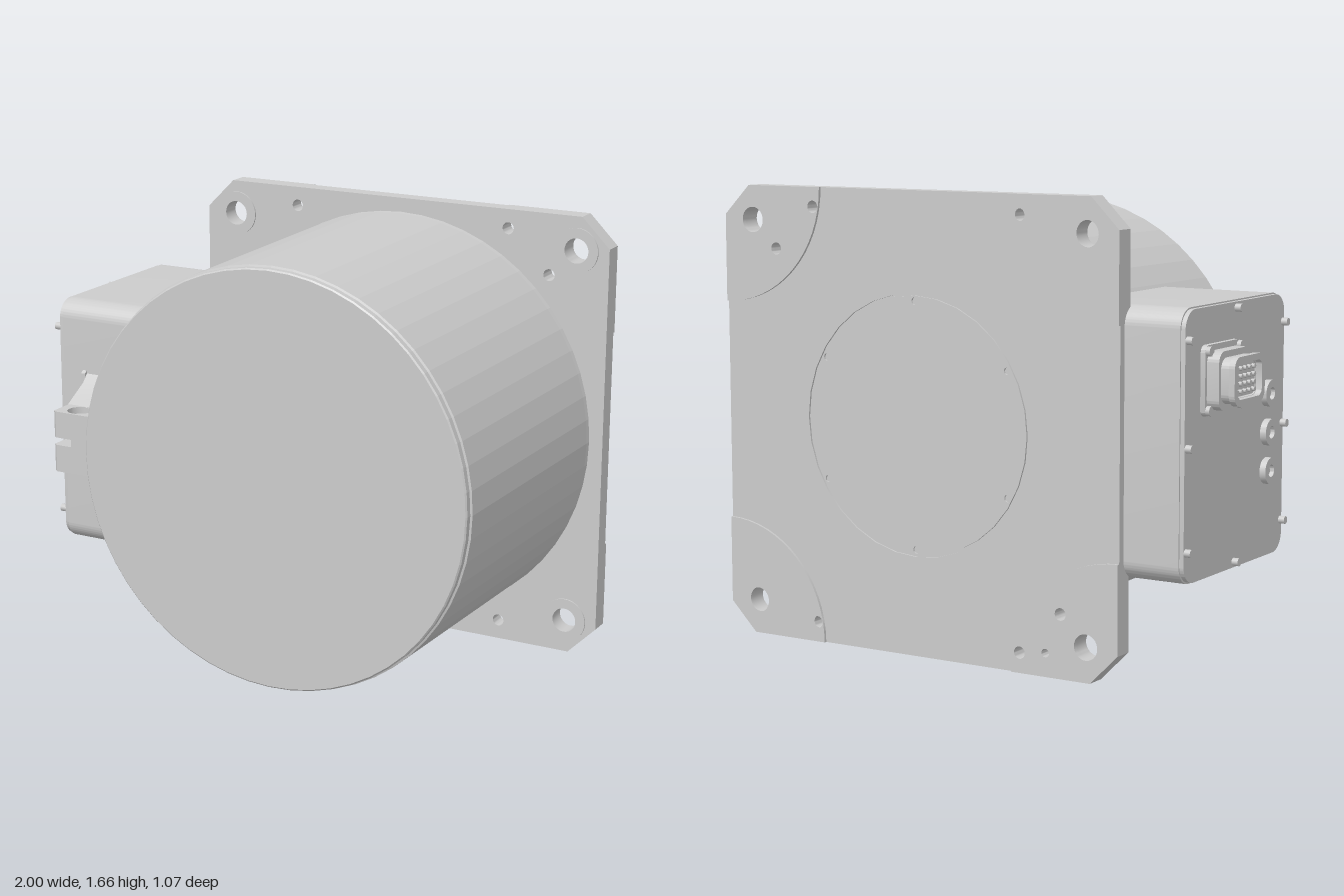
import * as THREE from 'three';
import { toCreasedNormals } from 'three/addons/utils/BufferGeometryUtils.js';

const CX = 0.172, CY = 0.828, HALF = 0.8275; // centre and half width of the square flange
const grey = new THREE.MeshStandardMaterial({ color: 0xcccccc });
const faceted = new THREE.MeshStandardMaterial({ color: 0xcccccc, flatShading: true });

function circle(x, y, r) {
  return new THREE.Path().absarc(x, y, r, 0, Math.PI * 2, true);
}

function polygon(points) {
  return new THREE.Shape(points.map(([x, y]) => new THREE.Vector2(x, y)));
}

function roundRect(cx, cy, hw, hh, r, Type = THREE.Shape) {
  const s = new Type();
  s.absarc(cx + hw - r, cy + hh - r, r, 0, Math.PI / 2);
  s.absarc(cx - hw + r, cy + hh - r, r, Math.PI / 2, Math.PI);
  s.absarc(cx - hw + r, cy - hh + r, r, Math.PI, Math.PI * 1.5);
  s.absarc(cx + hw - r, cy - hh + r, r, Math.PI * 1.5, Math.PI * 2);
  s.closePath();
  return s;
}

function extrude(shape, depth) {
  const g = new THREE.ExtrudeGeometry(shape, { depth, bevelEnabled: false, curveSegments: 16 });
  return toCreasedNormals(g, 0.6);
}

export function createModel() {
  const model = new THREE.Group();
  const add = (name, geometry, parent = model, material = grey) => {
    const mesh = new THREE.Mesh(geometry, material);
    mesh.name = name;
    parent.add(mesh);
    return mesh;
  };
  // Slab of an (x, y) outline between two z values
  const slabZ = (name, shape, z0, z1, parent) =>
    add(name, extrude(shape, z1 - z0).translate(0, 0, z0), parent);
  // Slab of a (z, y) outline between two x values
  const slabX = (name, shape, x0, x1, parent) =>
    add(name, extrude(shape, x1 - x0).rotateY(-Math.PI / 2).translate(x1, 0, 0), parent);
  // Round stud along x
  const stud = (name, r, x0, x1, y, z, parent, sides = 20) =>
    add(name, new THREE.CylinderGeometry(r, r, x1 - x0, sides).rotateZ(Math.PI / 2)
      .translate((x0 + x1) / 2, y, z), parent);

  // Mounting flange with chamfered corners and bolt holes
  const flange = new THREE.Group();
  flange.name = 'mountingFlange';
  model.add(flange);
  const c = 0.108, k = HALF - c;
  const bolts = [[-1, -1], [1, -1], [1, 1], [-1, 1]];
  const holes = bolts.map(([sx, sy]) => [CX + sx * 0.703, CY + sy * 0.703, 0.046]);
  holes.push([-0.265, 1.585, 0.022], [0.605, 1.585, 0.022], [0.77, 1.43, 0.022],
    [-0.43, 0.228, 0.022], [-0.37, 0.085, 0.015], [-0.265, 0.073, 0.022], [0.605, 0.073, 0.022]);
  const plate = () => {
    const s = polygon([[-k, -HALF], [k, -HALF], [HALF, -k], [HALF, k], [k, HALF], [-k, HALF],
      [-HALF, k], [-HALF, -k]].map(([x, y]) => [CX + x, CY + y]));
    s.holes.push(...holes.map(h => circle(...h)));
    return s;
  };
  slabZ('flangePlate', plate(), -0.518, -0.46, flange);
  const back = plate();
  back.holes.push(circle(CX, CY, 0.468));
  slabZ('flangeBackLayer', back, -0.525, -0.518, flange);

  // Round rear cover set inside a narrow groove
  const cover = new THREE.Shape().absarc(CX, CY, 0.461, 0, Math.PI * 2);
  for (let i = 0; i < 6; i++) {
    const a = Math.PI / 2 + i * Math.PI / 3;
    cover.holes.push(circle(CX + 0.442 * Math.cos(a), CY + 0.442 * Math.sin(a), 0.013));
  }
  slabZ('rearCover', cover, -0.525, -0.518, flange);

  // Raised quarter-round pads on the back and spot faces on the front, one per corner
  bolts.forEach(([sx, sy], i) => {
    const R = 0.425, px = CX + sx * HALF, py = CY + sy * HALF;
    const outline = [[0, c], [c, 0]];
    for (let j = 0; j <= 16; j++) {
      const a = j / 16 * Math.PI / 2;
      outline.push([R * Math.cos(a), R * Math.sin(a)]);
    }
    const pad = polygon(outline.map(([u, v]) => [px - sx * u, py - sy * v]));
    pad.holes.push(...holes.filter(h => Math.hypot(h[0] - px, h[1] - py) < R)
      .map(h => circle(...h)));
    slabZ('cornerPad', pad, -0.535, -0.525, flange);
    const spot = new THREE.Shape().absarc(holes[i][0], holes[i][1], 0.083, 0, Math.PI * 2);
    spot.holes.push(circle(...holes[i]));
    slabZ('spotFace', spot, -0.46, -0.454, flange);
  });

  // Slightly tapered drum housing with a stepped front lid
  const profile = [[0, -0.47], [0.776, -0.47], [0.774, -0.44], [0.762, 0.505], [0.755, 0.508],
    [0.755, 0.53], [0.75, 0.535], [0, 0.535]].map(([r, y]) => new THREE.Vector2(r, y));
  add('drumHousing', new THREE.LatheGeometry(profile, 56).rotateX(Math.PI / 2)
    .translate(CX, CY, 0), model, faceted);

  // Connection box on the side, with its end cover and screws
  const box = new THREE.Group();
  box.name = 'connectionBox';
  model.add(box);
  slabX('boxBody', roundRect(-0.126, 0.83, 0.371, 0.465, 0.07), -0.866, -0.35, box);
  slabX('endCover', roundRect(-0.126, 0.83, 0.366, 0.46, 0.068), -0.882, -0.866, box);
  const screws = [[-0.13, 1.27], [-0.13, 0.39]];
  for (const z of [-0.478, 0.228]) for (const y of [1.19, 0.83, 0.48]) screws.push([z, y]);
  for (const [z, y] of screws) stud('coverScrew', 0.014, -0.905, -0.88, y, z, box, 12);

  // Round plugs with hex sockets
  for (const y of [0.675, 0.812, 0.95]) {
    const plug = new THREE.Shape().absarc(0.108, y, 0.047, 0, Math.PI * 2);
    plug.holes.push(circle(0.108, y, 0.022));
    slabX('plug', plug, -0.905, -0.88, box);
    stud('plugSocket', 0.014, -0.894, -0.88, y, 0.108, box, 6);
  }

  // Electrical connector: flange, corner screws, hollow shell and pins
  const plugGroup = new THREE.Group();
  plugGroup.name = 'connector';
  model.add(plugGroup);
  const PZ = -0.255, PY = 1.045;
  slabX('connectorFlange', roundRect(PZ, PY, 0.13, 0.12, 0.025), -0.9, -0.88, plugGroup);
  for (const sz of [-1, 1]) for (const sy of [-1, 1])
    stud('connectorScrew', 0.017, -0.915, -0.9, PY + sy * 0.1, PZ + sz * 0.112, plugGroup, 12);
  const shell = (name, hz, hy, wall, x0, x1) => {
    const s = roundRect(PZ, PY, hz, hy, 0.04);
    s.holes.push(roundRect(PZ, PY, hz - wall, hy - wall, 0.025, THREE.Path));
    slabX(name, s, x0, x1, plugGroup);
  };
  shell('shellBase', 0.118, 0.1, 0.035, -0.945, -0.9);
  shell('shellNeck', 0.104, 0.078, 0.018, -0.978, -0.945);
  shell('shellRim', 0.111, 0.083, 0.022, -1, -0.978);
  slabX('pinInsert', roundRect(PZ, PY, 0.083, 0.056, 0.02), -0.975, -0.9, plugGroup);
  for (let i = 0; i < 5; i++) for (let j = 0; j < 4; j++)
    stud('pin', 0.008, -0.988, -0.97, PY + (j - 1.5) * 0.026, PZ + (i - 2) * 0.031, plugGroup, 8);

  // Front lug: flared foot, two clamp halves split by a slot, and a joining web
  const lug = new THREE.Group();
  lug.name = 'frontLug';
  model.add(lug);
  slabX('lugFoot', polygon([[0.23, 0.64], [0.375, 0.715], [0.375, 0.94], [0.27, 1.0], [0.23, 1.045]]),
    -0.765, -0.5, lug);
  slabX('lugFootFillet', polygon([[0.23, 0.63], [0.258, 0.645], [0.258, 1.03], [0.23, 1.05]]),
    -0.782, -0.765, lug);
  // Clamp outline in plan (x, -z), hollowed by a round recess at top and bottom
  const plan = () => polygon([[-0.762, -0.36], [-0.762, -0.465], [-0.75, -0.475], [-0.605, -0.475],
    [-0.57, -0.5], [-0.5, -0.5], [-0.5, -0.36]]);
  const slabY = (name, shape, y0, y1) =>
    add(name, extrude(shape, y1 - y0).rotateX(-Math.PI / 2).translate(0, y0, 0), lug);
  for (const [y0, y1, yr0, yr1] of [[0.715, 0.816, 0.715, 0.74], [0.844, 0.942, 0.917, 0.942]]) {
    const hollow = plan();
    hollow.holes.push(circle(-0.68, -0.42, 0.046));
    slabY('clampRim', hollow, yr0, yr1);
    slabY('clampHalf', plan(), y0 === yr0 ? yr1 : y0, y1 === yr1 ? yr0 : y1);
  }
  slabY('clampWeb', polygon([[-0.685, -0.36], [-0.685, -0.475], [-0.605, -0.475], [-0.57, -0.5],
    [-0.5, -0.5], [-0.5, -0.36]]), 0.816, 0.844);

  // Earthing screw on the front of the box
  const washer = new THREE.Shape().absarc(-0.71, 0.532, 0.042, 0, Math.PI * 2);
  slabZ('earthWasher', washer, 0.24, 0.25, box);
  const head = new THREE.Shape().absarc(-0.71, 0.532, 0.027, 0, Math.PI * 2);
  head.holes.push(new THREE.Path(Array.from({ length: 6 }, (_, i) => new THREE.Vector2(
    -0.71 + 0.015 * Math.cos(i * Math.PI / 3), 0.532 + 0.015 * Math.sin(i * Math.PI / 3)))));
  slabZ('earthScrew', head, 0.25, 0.262, box);

  return model;
}
